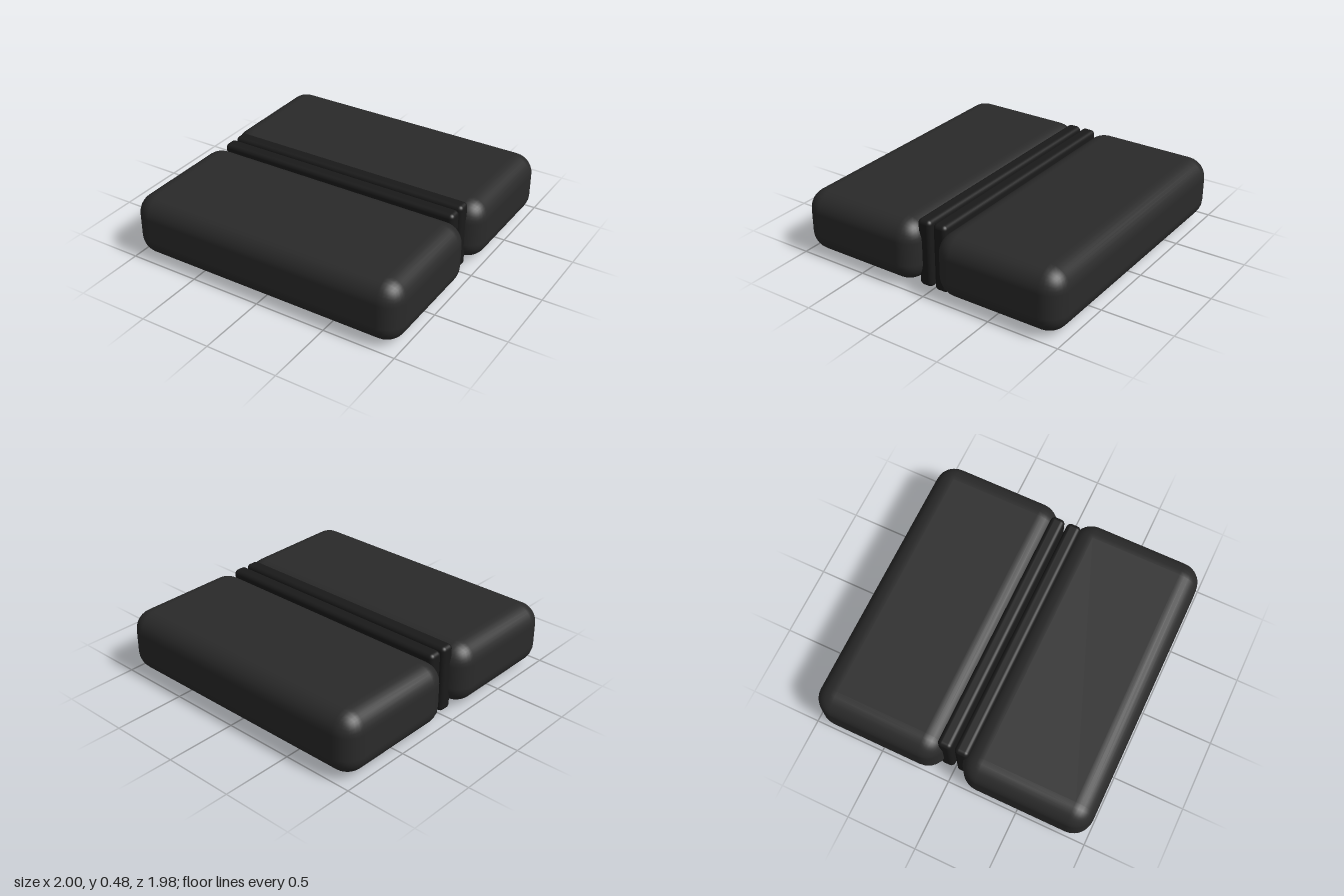
import * as THREE from 'three';
import { RoundedBoxGeometry } from 'three/addons/geometries/RoundedBoxGeometry.js';

export function createModel() {
  const model = new THREE.Group();
  model.name = 'splitCase';

  const shellMaterial = new THREE.MeshStandardMaterial({ color: 0x2a2a2a });
  const rimMaterial = new THREE.MeshStandardMaterial({ color: 0x1a1a1a });

  const addBox = (parent, name, size, radius, y, z, material) => {
    const mesh = new THREE.Mesh(new RoundedBoxGeometry(...size, 4, radius), material);
    mesh.name = name;
    mesh.position.set(0, y, z);
    parent.add(mesh);
  };

  // Two mirrored halves: a soft padded shell with a thin rim slab on its inner face
  for (const [name, side] of [['frontHalf', 1], ['backHalf', -1]]) {
    const half = new THREE.Group();
    half.name = name;
    addBox(half, 'shell', [2, 0.44, 0.924], 0.14, 0.24, side * 0.53, shellMaterial);
    addBox(half, 'rim', [1.796, 0.476, 0.1], 0.03, 0.238, side * 0.06, rimMaterial);
    model.add(half);
  }

  return model;
}
